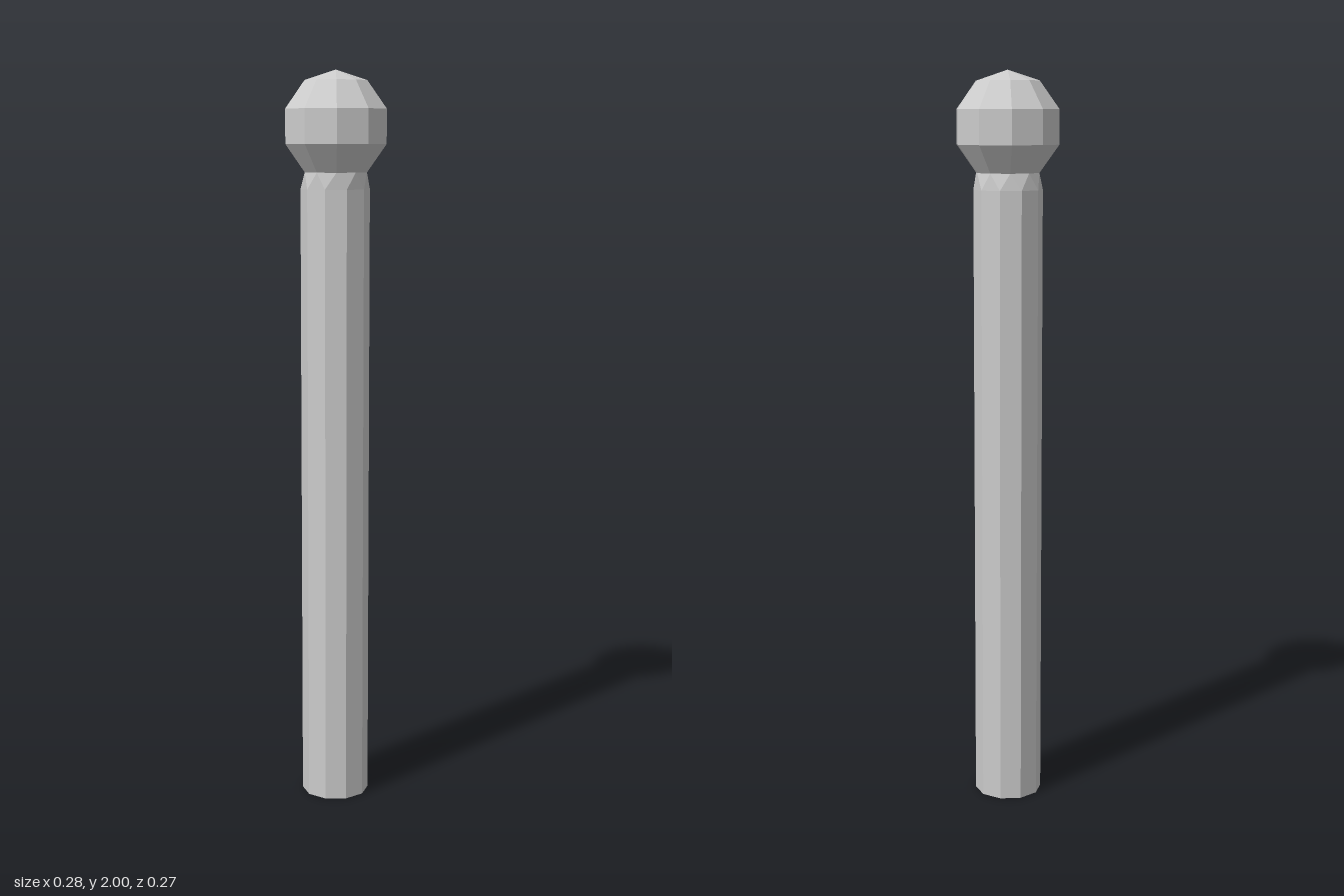
import * as THREE from 'three';

const SIDES = 10;
const TWIST = Math.PI / SIDES; // half a facet between shaft and ball
const SHAFT_R = 0.0925, SHAFT_TOP = 1.69, SHAFT_Z = -0.004;
const BALL_R = 0.147, BALL_Y = 2 - BALL_R;

export function createModel() {
  const group = new THREE.Group();
  const material = new THREE.MeshStandardMaterial({ color: 0xcccccc, flatShading: true });
  const add = (name, geometry) => {
    const mesh = new THREE.Mesh(geometry, material);
    mesh.name = name;
    group.add(mesh);
  };

  // Faceted ball, open at the bottom where the neck joins
  const profile = [];
  for (let i = 4; i >= 0; i--) {
    const a = (i * Math.PI) / 5;
    profile.push(new THREE.Vector2(BALL_R * Math.sin(a), BALL_Y + BALL_R * Math.cos(a)));
  }
  const ringR = profile[0].x, ringY = profile[0].y;
  add('ballHead', new THREE.LatheGeometry(profile, SIDES).rotateY(-TWIST));

  // Neck: its top ring is turned to meet the ball, its foot follows the shaft
  const height = ringY - SHAFT_TOP;
  const neck = new THREE.CylinderGeometry(ringR, SHAFT_R, height, SIDES, 1, true);
  const p = neck.attributes.position;
  const v = new THREE.Vector3();
  const up = new THREE.Vector3(0, 1, 0);
  for (let i = 0; i < p.count; i++) {
    v.fromBufferAttribute(p, i);
    if (v.y > 0) v.applyAxisAngle(up, -TWIST);
    else v.z += SHAFT_Z;
    p.setXYZ(i, v.x, v.y, v.z);
  }
  neck.translate(0, SHAFT_TOP + height / 2, 0);
  neck.computeVertexNormals();
  add('neck', neck);

  // Long ten-sided shaft with a closed foot
  const shaft = new THREE.CylinderGeometry(SHAFT_R, SHAFT_R, SHAFT_TOP, SIDES);
  add('shaft', shaft.translate(0, SHAFT_TOP / 2, SHAFT_Z));

  return group;
}
